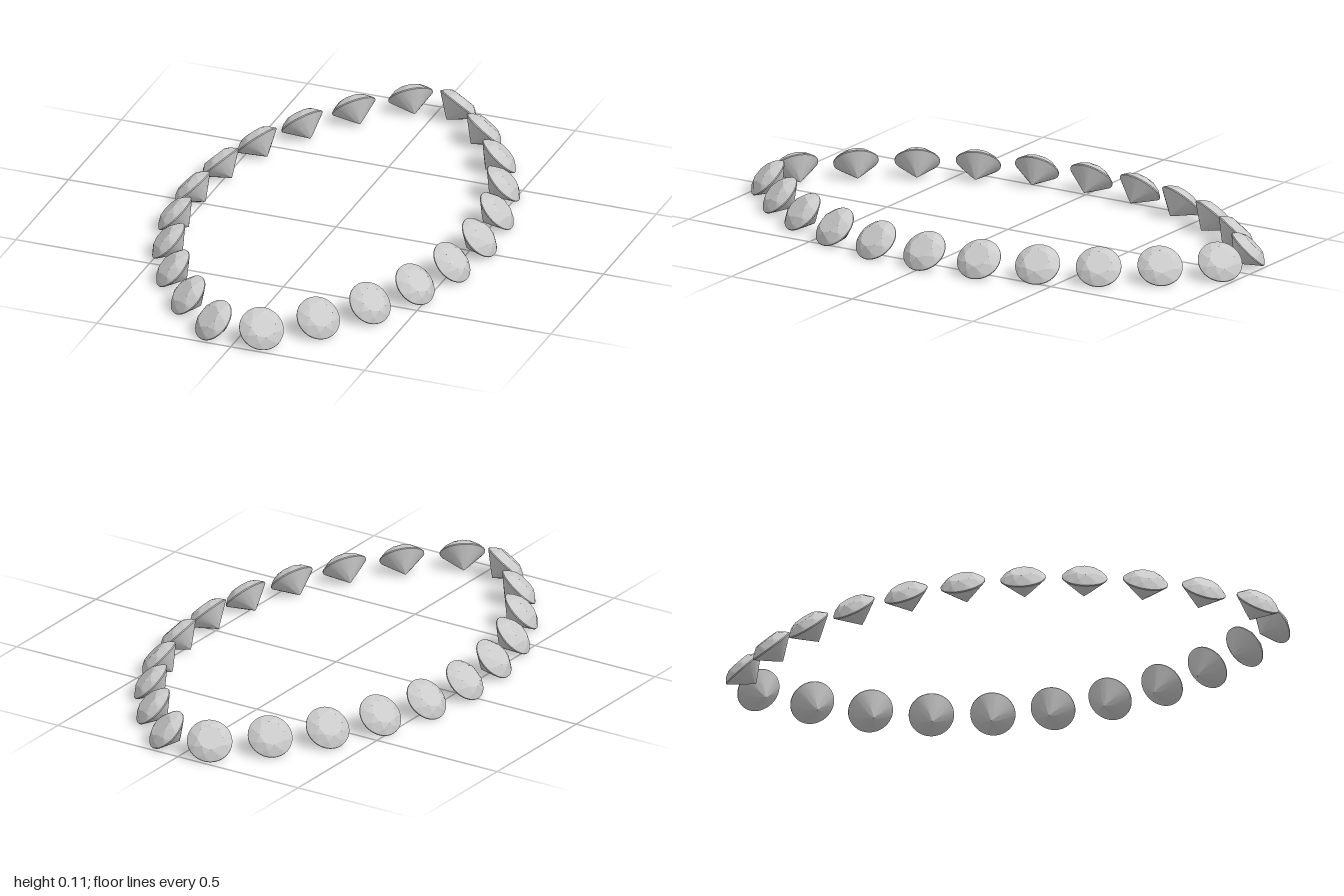
import * as THREE from 'three';

const R = 0.079;        // girdle radius
const BAND = 0.002;     // half thickness of the girdle
const CROWN = 0.027;    // crown height
const PAVILION = 0.066; // pavilion depth
const SUB = 4;          // girdle steps per half facet

// Round brilliant cut around the y axis, table up
function brilliantGeometry() {
  const pos = [];
  const point = (step, r, y) => {
    const a = step * Math.PI / 4;
    return new THREE.Vector3(r * Math.cos(a), y, r * Math.sin(a));
  };
  // The stone is convex around its origin, so every face is turned outward
  const tri = (a, b, c) => {
    const n = b.clone().sub(a).cross(c.clone().sub(a));
    const out = n.dot(a.clone().add(b).add(c)) > 0;
    for (const p of out ? [a, b, c] : [a, c, b]) pos.push(p.x, p.y, p.z);
  };

  const tableR = 0.57 * R, starR = 0.8 * R, lowR = 0.25 * R;
  const cosHalf = Math.cos(Math.PI / 8);
  const starY = BAND + CROWN * (R - starR * cosHalf) / (R - tableR);
  const lowY = -BAND - PAVILION * (1 - lowR * cosHalf / R);
  const centre = new THREE.Vector3(0, BAND + CROWN, 0);
  const culet = new THREE.Vector3(0, -BAND - PAVILION, 0);

  for (let i = 0; i < 8; i++) {
    const t0 = point(i, tableR, BAND + CROWN), t1 = point(i + 1, tableR, BAND + CROWN);
    const star = point(i + 0.5, starR, starY), prev = point(i - 0.5, starR, starY);
    const low = point(i + 0.5, lowR, lowY), lowPrev = point(i - 0.5, lowR, lowY);
    const top = point(i, R, BAND), bottom = point(i, R, -BAND);
    tri(centre, t0, t1);                              // table
    tri(t0, t1, star);                                // star facet
    tri(t0, prev, top); tri(t0, top, star);           // crown kite
    tri(culet, lowPrev, bottom); tri(culet, bottom, low); // pavilion main
    // Half facets and girdle band
    for (let k = 0; k < 2 * SUB; k++) {
      const s0 = i + k / (2 * SUB), s1 = i + (k + 1) / (2 * SUB);
      const a = point(s0, R, BAND), b = point(s1, R, BAND);
      const c = point(s0, R, -BAND), d = point(s1, R, -BAND);
      tri(star, a, b);
      tri(low, c, d);
      tri(a, b, c); tri(b, d, c);
    }
  }
  const g = new THREE.BufferGeometry();
  g.setAttribute('position', new THREE.Float32BufferAttribute(pos, 3));
  g.computeVertexNormals();
  return g;
}

export function createModel() {
  const model = new THREE.Group();
  model.name = 'gemRing';
  const geometry = brilliantGeometry();
  const material = new THREE.MeshStandardMaterial({ color: 0xcccccc, flatShading: true });

  // Two mirrored arcs of eleven stones form a pointed oval
  const arcR = 1.204, halfWidth = 0.536, step = THREE.MathUtils.degToRad(10.2);
  for (const side of [1, -1]) {
    const arc = new THREE.Group();
    arc.name = side > 0 ? 'leftArc' : 'rightArc';
    for (let i = -5; i <= 5; i++) {
      const a = i * step;
      const gem = new THREE.Mesh(geometry, material);
      gem.name = 'gem';
      gem.position.set(side * (halfWidth - arcR * (1 - Math.cos(a))), 0.058, arcR * Math.sin(a));
      // Table leans outward by 45 degrees
      gem.rotation.set(0, side > 0 ? -a : a - Math.PI, -Math.PI / 4, 'YXZ');
      arc.add(gem);
    }
    model.add(arc);
  }
  return model;
}
